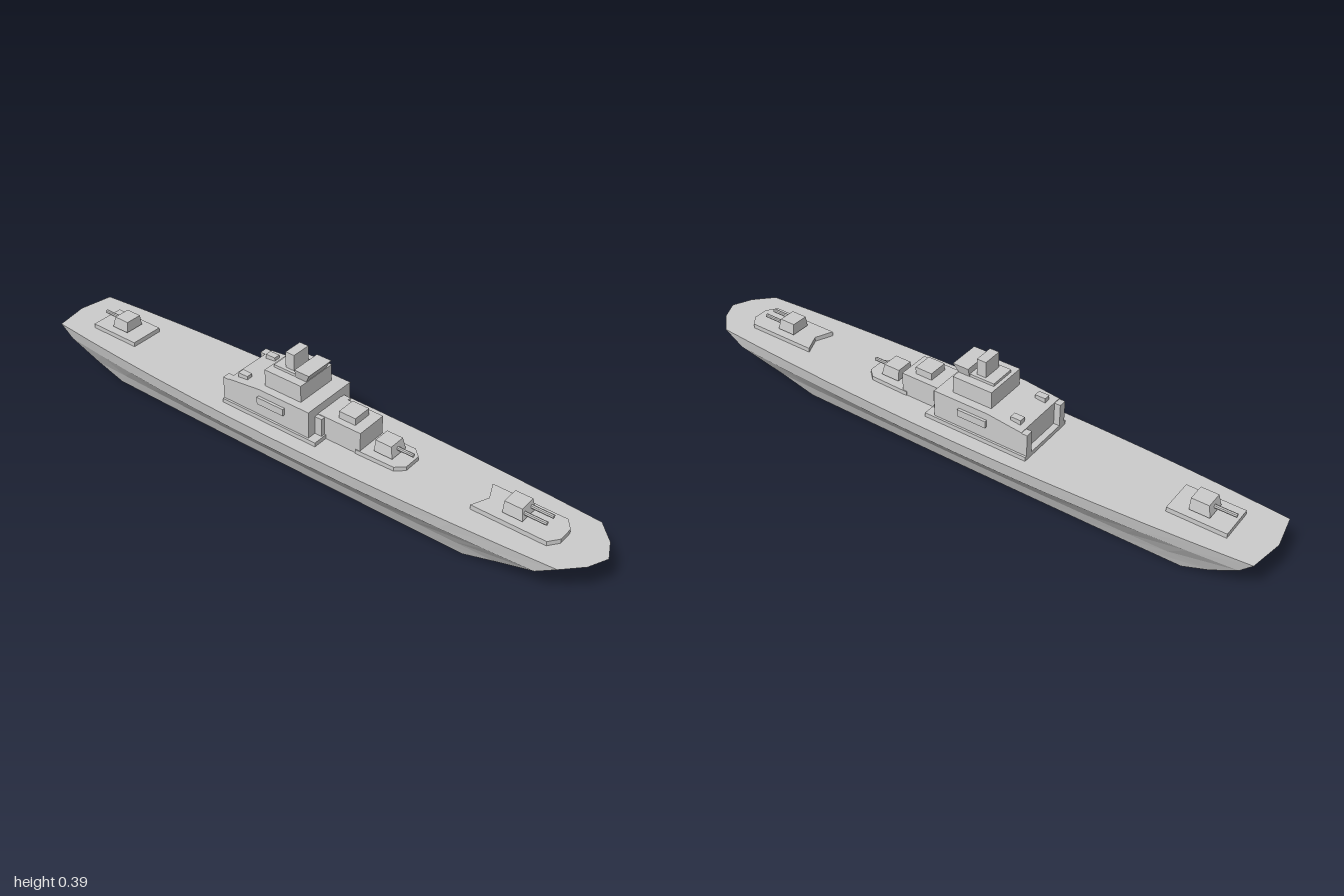
import * as THREE from 'three';

const material = new THREE.MeshStandardMaterial({ color: 0xcccccc, flatShading: true });
const DECK = 0.163;

function add(parent, name, geometry) {
  const mesh = new THREE.Mesh(geometry, material);
  mesh.name = name;
  parent.add(mesh);
  return mesh;
}

// Box by its limits in x and y and its half width in z
function block(parent, name, x0, x1, y0, y1, halfZ, z = 0) {
  const g = new THREE.BoxGeometry(x1 - x0, y1 - y0, halfZ * 2);
  g.translate((x0 + x1) / 2, (y0 + y1) / 2, z);
  return add(parent, name, g);
}

// Block whose upper corners are moved by a rule
function shapedBlock(parent, name, x0, x1, y0, y1, halfZ, rule) {
  const mesh = block(parent, name, x0, x1, y0, y1, halfZ);
  const p = mesh.geometry.attributes.position;
  const v = new THREE.Vector3();
  for (let i = 0; i < p.count; i++) {
    v.fromBufferAttribute(p, i);
    if (v.y > (y0 + y1) / 2) rule(v);
    p.setXYZ(i, v.x, v.y, v.z);
  }
  mesh.geometry.computeVertexNormals();
  return mesh;
}

// Flat plate from one half of its outline, mirrored in z
function plate(parent, name, half, y0, y1) {
  const outline = [...half, ...half.slice().reverse().map(([x, z]) => [x, -z])];
  const shape = new THREE.Shape(outline.map(([x, z]) => new THREE.Vector2(x, z)));
  const g = new THREE.ExtrudeGeometry(shape, { depth: y1 - y0, bevelEnabled: false });
  g.rotateX(-Math.PI / 2);
  g.translate(0, y0, 0);
  return add(parent, name, g);
}

// Horizontal hull outline at one level
function hullRing({ y, stern, sternCorner, sternW, midW, bowW, bowCorner, bow }) {
  const side = [[sternCorner, sternW]];
  const steps = 12;
  for (let i = 1; i < steps; i++) {
    const t = (i / steps) * 2 - 1;
    const end = t < 0 ? sternW : bowW;
    side.push([THREE.MathUtils.lerp(sternCorner, bowCorner, i / steps), midW - (midW - end) * t * t]);
  }
  side.push([bowCorner, bowW], [bowCorner + (bow - bowCorner) * 0.66, bowW * 0.52]);
  const mirrored = side.slice().reverse().map(([x, z]) => [x, -z]);
  return [[stern, 0], ...side, [bow, 0], ...mirrored].map(([x, z]) => [x, y, z]);
}

function hullGeometry() {
  const rings = [
    { y: 0, stern: -0.77, sternCorner: -0.76, sternW: 0.066, midW: 0.07, bowW: 0.067, bowCorner: 0.6, bow: 0.65 },
    { y: 0.048, stern: -0.865, sternCorner: -0.85, sternW: 0.08, midW: 0.09, bowW: 0.084, bowCorner: 0.71, bow: 0.78 },
    { y: 0.118, stern: -0.955, sternCorner: -0.94, sternW: 0.105, midW: 0.148, bowW: 0.118, bowCorner: 0.85, bow: 0.925 },
    { y: DECK, stern: -1, sternCorner: -0.98, sternW: 0.112, midW: 0.155, bowW: 0.12, bowCorner: 0.915, bow: 1 },
  ].map(hullRing);
  const n = rings[0].length;
  const pos = rings.flat(2);
  const index = [];
  for (let r = 0; r < rings.length - 1; r++) {
    for (let i = 0; i < n; i++) {
      const j = (i + 1) % n;
      const a = r * n + i, b = r * n + j;
      index.push(a, b, b + n, a, b + n, a + n);
    }
  }
  // Deck and bottom caps
  const top = (rings.length - 1) * n;
  const low = pos.length / 3;
  pos.push(0, 0, 0, 0, DECK, 0);
  for (let i = 0; i < n; i++) {
    const j = (i + 1) % n;
    index.push(low, j, i, low + 1, top + i, top + j);
  }
  const g = new THREE.BufferGeometry();
  g.setAttribute('position', new THREE.Float32BufferAttribute(pos, 3));
  g.setIndex(index);
  const flat = g.toNonIndexed();
  flat.computeVertexNormals();
  return flat;
}

// Gun house pointing along +x, with barrels at the given z positions
function gun(parent, name, x, barrels, length, turn = 0) {
  const group = new THREE.Group();
  group.name = name;
  const ring = add(group, 'turretRing', new THREE.CylinderGeometry(0.026, 0.026, 0.012, 12));
  ring.position.y = 0.178;
  shapedBlock(group, 'turret', -0.032, 0.032, 0.182, 0.219, 0.034, (v) => {
    v.z *= 0.84;
    v.x = v.x > 0 ? v.x - 0.008 : v.x;
  });
  for (const z of barrels) {
    const barrel = add(group, 'barrel', new THREE.CylinderGeometry(0.006, 0.006, length, 8));
    barrel.rotation.z = Math.PI / 2;
    barrel.position.set(0.02 + length / 2, 0.2, z);
  }
  group.position.x = x;
  group.rotation.y = turn;
  parent.add(group);
}

export function createModel() {
  const ship = new THREE.Group();
  ship.name = 'warship';
  add(ship, 'hull', hullGeometry());

  // Main superstructure, its roof falling towards the stern
  block(ship, 'superstructureBase', -0.26, 0.1, DECK - 0.003, 0.177, 0.107);
  shapedBlock(ship, 'aftHouse', -0.24, -0.12, 0.17, 0.268, 0.1, (v) => {
    if (v.x < -0.2) v.y = 0.254;
  });
  block(ship, 'mainHouse', -0.12, 0.07, 0.17, 0.268, 0.1);
  for (const s of [1, -1]) {
    block(ship, 'aftWing', -0.26, -0.24, 0.17, 0.252, 0.013, s * 0.087);
    block(ship, 'sideSponson', -0.12, -0.02, 0.22, 0.244, 0.006, s * 0.103);
    block(ship, 'roofLocker', -0.22, -0.185, 0.25, 0.272, 0.011, s * 0.064);
  }

  // Forward deckhouse
  block(ship, 'houseFront', 0.07, 0.095, 0.17, 0.238, 0.07);
  block(ship, 'forwardHouse', 0.07, 0.225, DECK, 0.24, 0.055);
  block(ship, 'forwardHouseRoof', 0.13, 0.19, 0.238, 0.264, 0.033);

  // Bridge tiers and funnel
  block(ship, 'bridgeTower', -0.117, 0.02, 0.265, 0.325, 0.073);
  block(ship, 'funnelBase', -0.105, -0.02, 0.324, 0.334, 0.044);
  shapedBlock(ship, 'flaredBridge', -0.02, 0.018, 0.324, 0.355, 0.045, (v) => {
    v.z *= 1.18;
    if (v.x > 0) v.x += 0.016;
  });
  block(ship, 'funnel', -0.069, -0.037, 0.33, 0.388, 0.033);

  // Gun platforms and guns
  plate(ship, 'sternPlatform', [[-0.875, 0.058], [-0.69, 0.058]], DECK - 0.003, 0.178);
  plate(ship, 'bowPlatform', [[0.63, 0], [0.605, 0.058], [0.845, 0.058], [0.87, 0.025]], DECK - 0.003, 0.178);
  plate(ship, 'midPlatform', [[0.21, 0.058], [0.345, 0.055], [0.372, 0.03]], DECK - 0.003, 0.177);
  gun(ship, 'bowGun', 0.724, [0.018, -0.018], 0.077);
  gun(ship, 'midGun', 0.292, [0], 0.063);
  gun(ship, 'sternGun', -0.778, [0], 0.075, Math.PI);

  return ship;
}
